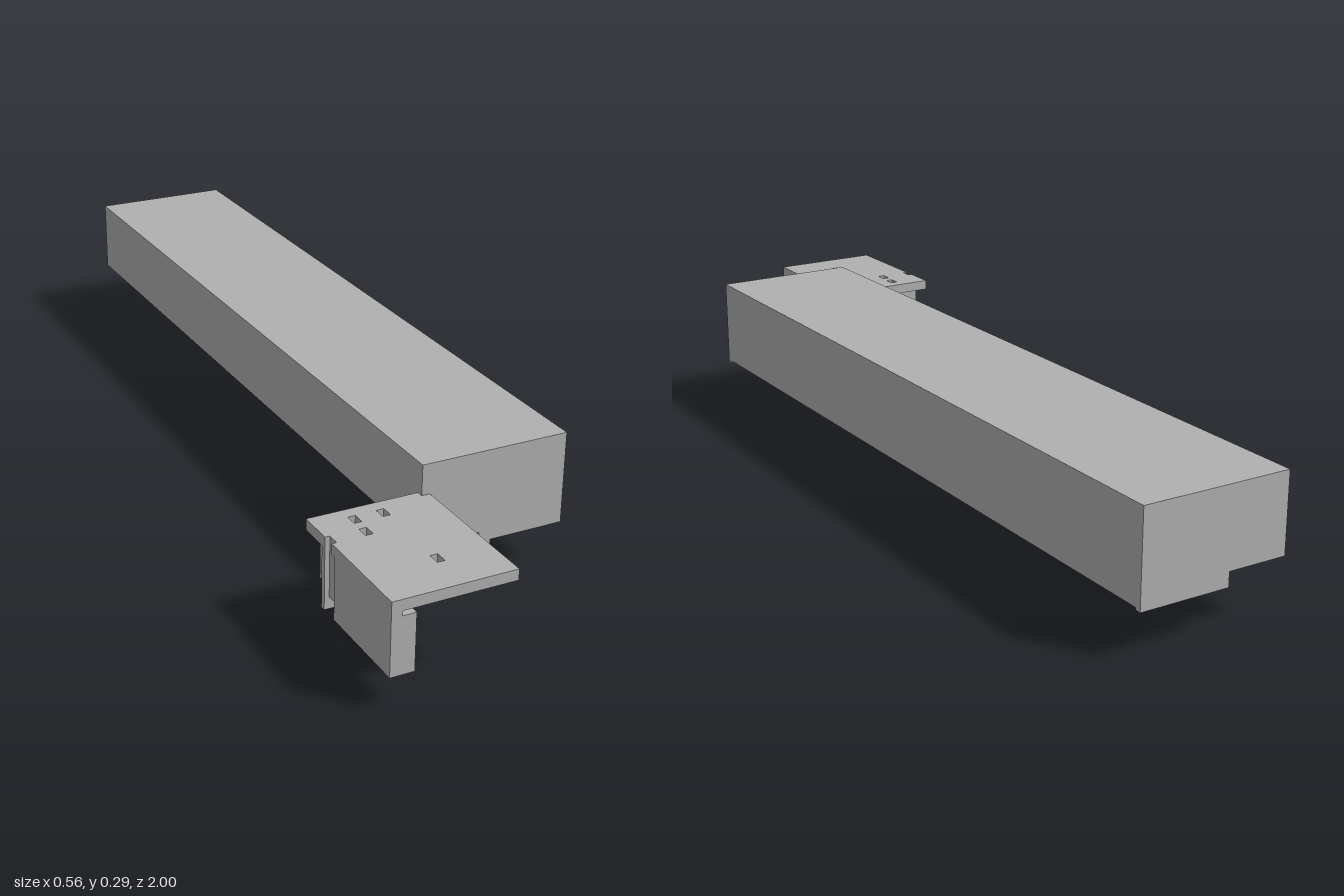
import * as THREE from 'three';

export function createModel() {
  const model = new THREE.Group();
  const grey = new THREE.MeshStandardMaterial({ color: 0xb0b0b0 });
  grey.name = 'plain grey';

  const add = (parent, name, geo) => {
    const mesh = new THREE.Mesh(geo, grey);
    mesh.name = name;
    parent.add(mesh);
    return mesh;
  };
  // box given by its limits on each axis
  const box = (parent, name, x0, x1, y0, y1, z0, z1) =>
    add(parent, name, new THREE.BoxGeometry(x1 - x0, y1 - y0, z1 - z0)
      .translate((x0 + x1) / 2, (y0 + y1) / 2, (z0 + z1) / 2));
  const polygon = (pts) => new THREE.Shape(pts.map(([x, y]) => new THREE.Vector2(x, y)));
  const roundHole = (x, y, r) => new THREE.Path().absarc(x, y, r, 0, Math.PI * 2, true);
  const slab = (shape, depth) =>
    new THREE.ExtrudeGeometry(shape, { depth, bevelEnabled: false, curveSegments: 24 });

  // long cover, open underneath
  const cover = new THREE.Group();
  cover.name = 'cover';
  model.add(cover);
  const L = -0.043, R = 0.28, T = 0.293, B = 0.095, F = 0.69, w = 0.014;
  box(cover, 'coverTop', L, R, T - w, T, -1, F);
  box(cover, 'coverLeftWall', R - w, R, B + 0.005, T - w, -1 + w, F - w);
  box(cover, 'coverRightWall', L, L + w, 0.126, T - w, -1 + w, F - w);
  const front = polygon([[L, B], [0.044, B], [0.044, 0.102], [0.067, 0.102], [0.067, 0.117],
    [0.09, 0.117], [0.09, B], [R, B], [R, T - w], [L, T - w]]);
  add(cover, 'coverFrontWall', slab(front, w).translate(0, 0, F - w));
  const back = polygon([[L, 0.126], [0.085, 0.126], [0.085, B], [R, B], [R, T - w], [L, T - w]]);
  add(cover, 'coverBackWall', slab(back, w).translate(0, 0, -1));

  // hanging tab with two cross holes
  const tab = polygon([[0.642, 0], [F, 0], [F, 0.117], [0.642, 0.117]]);
  tab.holes.push(roundHole(0.666, 0.03, 0.016), roundHole(0.666, 0.085, 0.016));
  add(model, 'hangingTab', slab(tab, 0.026).rotateY(-Math.PI / 2).translate(0.116, 0, 0));

  // bracket top plate with slots and an edge notch
  const bracket = new THREE.Group();
  bracket.name = 'bracket';
  model.add(bracket);
  const plate = polygon([[-0.28, 0.675], [-0.025, 0.675], [-0.025, 1], [-0.28, 1],
    [-0.28, 0.778], [-0.27, 0.778], [-0.27, 0.752], [-0.28, 0.752]]);
  for (const [x, z] of [[-0.2, 0.716], [-0.14, 0.716], [-0.203, 0.765], [-0.135, 0.905]]) {
    const a = 0.008, b = 0.013;
    plate.holes.push(polygon([[x - a, z - b], [x - a, z + b], [x + a, z + b], [x + a, z - b]]));
  }
  add(bracket, 'bracketPlate', slab(plate, 0.023).rotateX(Math.PI / 2).translate(0, 0.228, 0));

  // bracket side wall, grooved near the back
  box(bracket, 'sideWall', -0.28, -0.258, 0.075, 0.205, 0.79, 1);
  box(bracket, 'grooveFloor', -0.27, -0.24, 0.1, 0.205, 0.752, 0.79);
  box(bracket, 'sideWallBack', -0.28, -0.23, 0.075, 0.205, 0.74, 0.752);
  // raised rim on the inner face of the side wall
  box(bracket, 'rimFront', -0.258, -0.23, 0.075, 0.195, 0.978, 1);
  box(bracket, 'rimTop', -0.258, -0.23, 0.175, 0.195, 0.805, 0.978);
  box(bracket, 'rimBottom', -0.258, -0.23, 0.075, 0.095, 0.805, 0.978);

  // cross block with one closed and one open-sided bore
  const cx = -0.168, cy = 0.135, r = 0.026, a = Math.acos(0.02 / r);
  const block = new THREE.Shape();
  block.moveTo(-0.258, 0.105);
  block.lineTo(-0.148, 0.105);
  block.absarc(cx, cy, r, -a, a, true);
  block.lineTo(-0.148, 0.205);
  block.lineTo(-0.258, 0.205);
  block.holes.push(roundHole(-0.229, cy, 0.022));
  add(bracket, 'crossBlock', slab(block, 0.05).translate(0, 0, 0.69));

  return model;
}
